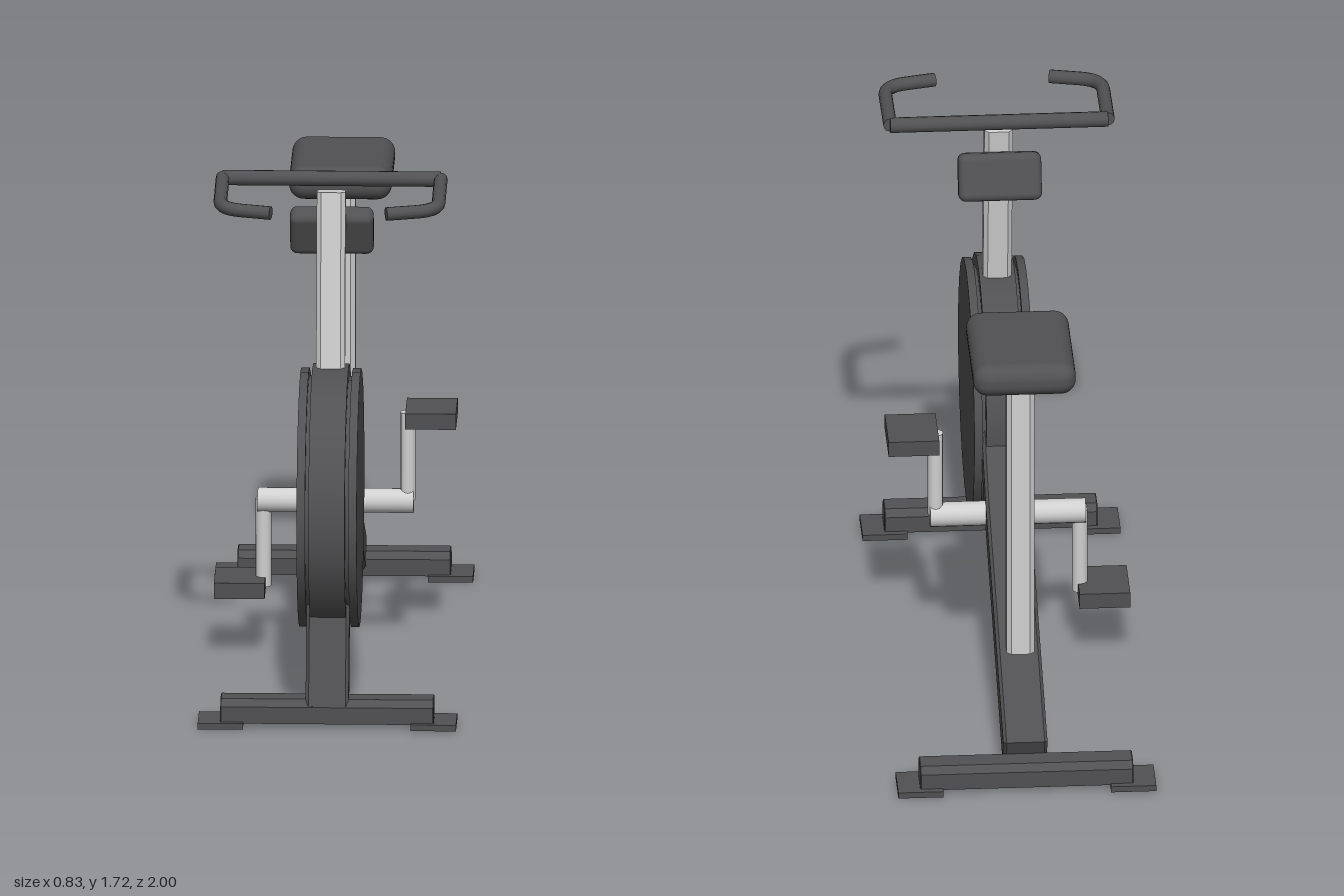
import * as THREE from 'three';
import { RoundedBoxGeometry } from 'three/addons/geometries/RoundedBoxGeometry.js';

const dark = new THREE.MeshStandardMaterial({ color: 0x515153 });
dark.name = 'charcoal';
const light = new THREE.MeshStandardMaterial({ color: 0xd0d0d0 });
light.name = 'light grey metal';

export function createModel() {
  const model = new THREE.Group();
  model.name = 'exerciseBike';

  const add = (name, geometry, material, x = 0, y = 0, z = 0, parent = model) => {
    const mesh = new THREE.Mesh(geometry, material);
    mesh.name = name;
    mesh.position.set(x, y, z);
    parent.add(mesh);
    return mesh;
  };
  const box = (name, w, h, d, x, y, z) => add(name, new THREE.BoxGeometry(w, h, d), dark, x, y, z);

  // Straight post with chamfered corners between two points of the middle plane [y, z]
  const post = (name, material, [y0, z0], [y1, z1], w, d, c) => {
    const a = w / 2, b = d / 2;
    const shape = new THREE.Shape([
      [-a + c, -b], [a - c, -b], [a, -b + c], [a, b - c],
      [a - c, b], [-a + c, b], [-a, b - c], [-a, -b + c],
    ].map(([x, y]) => new THREE.Vector2(x, y)));
    const depth = Math.hypot(y1 - y0, z1 - z0);
    const geometry = new THREE.ExtrudeGeometry(shape, { depth, bevelEnabled: false });
    geometry.rotateX(-Math.PI / 2);
    add(name, geometry, material, 0, y0, z0).rotation.x = Math.atan2(z1 - z0, y1 - y0);
  };

  // Side outline of [z, y] points extruded across x
  const sidePlate = (name, points, width, bevel) => {
    const shape = new THREE.Shape(points.map(([z, y]) => new THREE.Vector2(-z, y)));
    const geometry = new THREE.ExtrudeGeometry(shape, {
      depth: width - 2 * bevel, bevelEnabled: true, bevelSize: bevel,
      bevelThickness: bevel, bevelOffset: -bevel, bevelSegments: 1,
    });
    geometry.translate(0, 0, -width / 2 + bevel);
    geometry.rotateY(Math.PI / 2);
    return add(name, geometry, dark);
  };

  // Flywheel housing: rim, recessed spacer and two side covers
  const disc = (name, r, w, x) => {
    const geometry = new THREE.CylinderGeometry(r, r, w, 24);
    geometry.rotateZ(Math.PI / 2);
    add(name, geometry, dark, x, 0.67, 0.57);
  };
  disc('wheelRim', 0.43, 0.116, 0);
  disc('wheelSpacer', 0.39, 0.15, 0);
  for (const s of [-1, 1]) disc('wheelCover', 0.415, 0.027, s * 0.083);

  // Bent main beam and front leg
  sidePlate('mainBeam', [
    [0.27, 0.77], [0.15, 0.68], [-0.02, 0.55], [-0.915, 0.145],
    [-0.866, 0.037], [0.037, 0.46], [0.166, 0.556], [0.30, 0.66],
  ], 0.142, 0.01);
  post('frontLeg', dark, [0.06, 0.895], [0.46, 0.769], 0.138, 0.085, 0.01);

  // Cross feet with flat pads
  for (const [z, padZ] of [[0.883, 0.882], [-0.925, -0.927]]) {
    sidePlate('crossFoot', [
      [z - 0.053, 0.015], [z + 0.053, 0.015], [z + 0.053, 0.07],
      [z + 0.035, 0.093], [z - 0.035, 0.093], [z - 0.053, 0.07],
    ], 0.685, 0.003);
    for (const s of [-1, 1]) box('footPad', 0.145, 0.02, 0.147, s * 0.342, 0.01, padZ);
  }

  // Axle, cranks and pedals
  const axle = new THREE.CylinderGeometry(0.04, 0.04, 0.5, 16);
  axle.rotateZ(Math.PI / 2);
  add('crankAxle', axle, light, 0, 0.505, 0);
  for (const s of [-1, 1]) {
    add('crankArm', new THREE.CylinderGeometry(0.025, 0.025, 0.29, 12), light,
      s * 0.232, 0.51 + s * 0.145, 0);
    box('pedal', 0.163, 0.052, 0.196, s * 0.307, 0.51 + s * 0.284, 0);
  }

  // Seat and its post
  post('seatPost', light, [0.335, -0.627], [1.38, -0.627], 0.09, 0.08, 0.015);
  add('seat', new RoundedBoxGeometry(0.33, 0.108, 0.445, 5, 0.048), dark, 0, 1.425, -0.673);

  // Handlebar post and console
  post('handlebarPost', light, [1.02, 0.552], [1.66, 0.468], 0.092, 0.075, 0.014);
  add('console', new RoundedBoxGeometry(0.268, 0.155, 0.076, 4, 0.024), dark,
    0, 1.512, 0.4).rotation.x = 0.37;

  // Handlebar: cross tube with two inward-curving grips
  const handlebar = new THREE.Group();
  handlebar.name = 'handlebar';
  handlebar.position.set(0, 1.692, 0.43);
  handlebar.rotation.x = 0.06;
  model.add(handlebar);
  const cross = new THREE.CylinderGeometry(0.025, 0.025, 0.7, 12);
  cross.rotateZ(Math.PI / 2);
  add('crossTube', cross, dark, 0, 0, 0, handlebar);
  for (const s of [-1, 1]) {
    const v = (x, z) => new THREE.Vector3(s * x, 0, z);
    const path = new THREE.CurvePath();
    path.add(new THREE.LineCurve3(v(0.35, 0), v(0.35, 0.24)));
    path.add(new THREE.QuadraticBezierCurve3(v(0.35, 0.24), v(0.348, 0.31), v(0.28, 0.328)));
    path.add(new THREE.LineCurve3(v(0.28, 0.328), v(0.185, 0.352)));
    add('grip', new THREE.TubeGeometry(path, 40, 0.022, 12), dark, 0, 0, 0, handlebar);
    for (const t of [0, 1]) {
      const cap = add('gripEnd', new THREE.CircleGeometry(0.022, 12), dark, 0, 0, 0, handlebar);
      const direction = path.getTangentAt(t).multiplyScalar(t ? 1 : -1);
      cap.position.copy(path.getPointAt(t));
      cap.quaternion.setFromUnitVectors(new THREE.Vector3(0, 0, 1), direction);
    }
  }

  return model;
}
